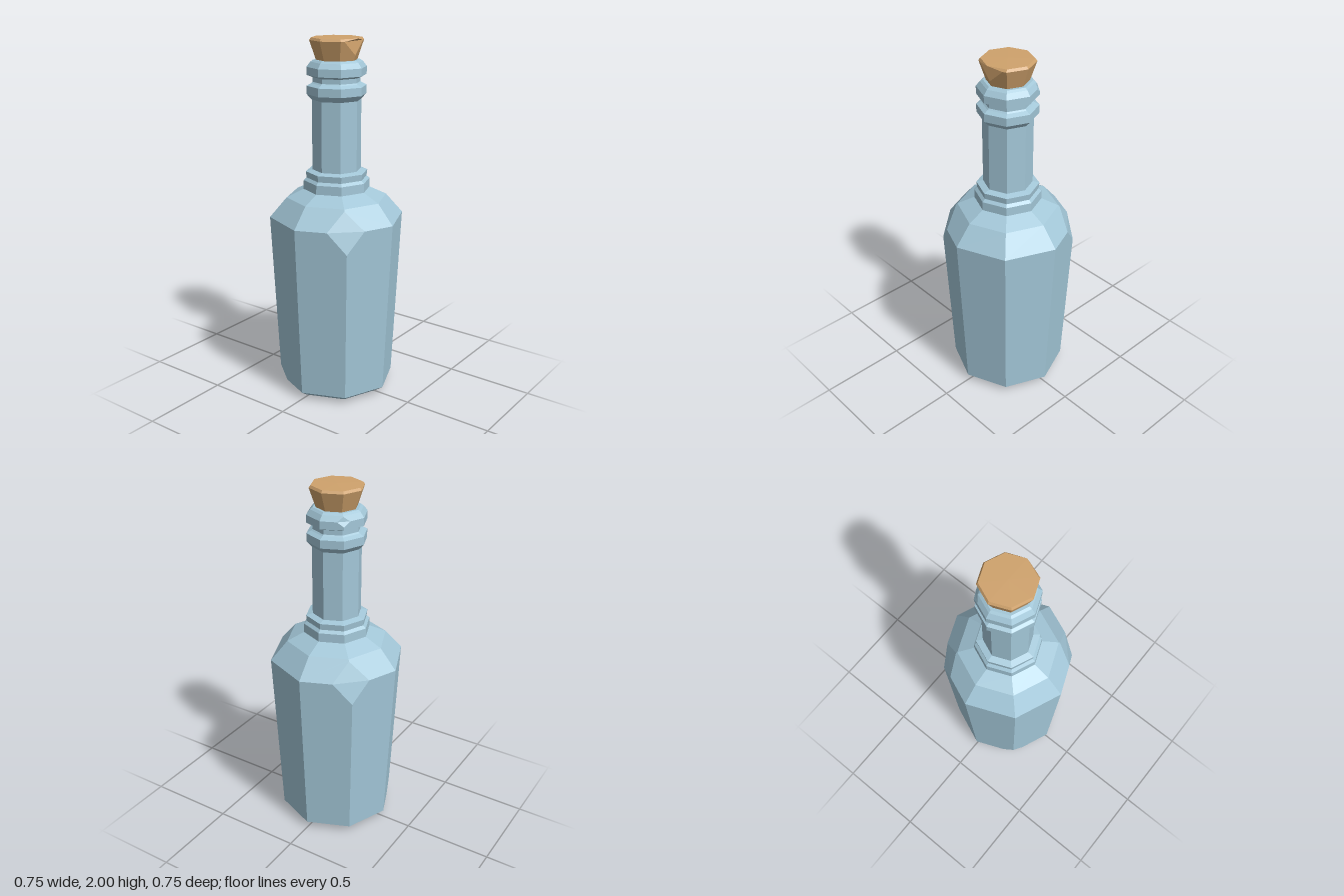
import * as THREE from 'three';

const SIDES = 8;

// Faceted solid of stacked octagons [radius, y]; chips cut single corners off.
// A chip's side, up and down are fractions along the edges leaving that corner.
function facetedTurning(rings, chips, bottomY, topY) {
  const positions = [];
  const wrap = (j) => (j + SIDES) % SIDES;
  const corner = (i, j) => {
    const a = (wrap(j) / SIDES) * Math.PI * 2;
    return new THREE.Vector3(rings[i][0] * Math.sin(a), rings[i][1], rings[i][0] * Math.cos(a));
  };
  const fan = (pts) => {
    for (let k = 1; k < pts.length - 1; k++) {
      for (const p of [pts[0], pts[k], pts[k + 1]]) positions.push(p.x, p.y, p.z);
    }
  };
  const along = (chip, i, j, ni, nj) => {
    const t = ni > i ? chip.up : ni < i ? chip.down : chip.side;
    return corner(i, j).lerp(corner(ni, nj), t);
  };

  // Side panels, with chipped corners removed
  for (let i = 0; i < rings.length - 1; i++) {
    for (let j = 0; j < SIDES; j++) {
      const quad = [[i, j], [i, j + 1], [i + 1, j + 1], [i + 1, j]];
      const pts = [];
      quad.forEach(([ci, cj], k) => {
        const chip = chips.find((c) => c.ring === ci && c.seg === wrap(cj));
        if (!chip) pts.push(corner(ci, cj));
        else {
          pts.push(along(chip, ci, cj, ...quad[(k + 3) % 4]));
          pts.push(along(chip, ci, cj, ...quad[(k + 1) % 4]));
        }
      });
      fan(pts);
    }
  }

  // Chip facets
  for (const c of chips) {
    const { ring: i, seg: j } = c;
    fan([along(c, i, j, i, j - 1), along(c, i, j, i - 1, j),
      along(c, i, j, i, j + 1), along(c, i, j, i + 1, j)]);
  }

  // End caps
  const last = rings.length - 1;
  for (let j = 0; j < SIDES; j++) {
    fan([new THREE.Vector3(0, bottomY, 0), corner(0, j + 1), corner(0, j)]);
    fan([new THREE.Vector3(0, topY, 0), corner(last, j), corner(last, j + 1)]);
  }

  const geometry = new THREE.BufferGeometry();
  geometry.setAttribute('position', new THREE.Float32BufferAttribute(positions, 3));
  geometry.computeVertexNormals();
  return geometry;
}

export function createModel() {
  const group = new THREE.Group();
  group.name = 'corkedBottle';

  const glass = new THREE.MeshStandardMaterial({ color: 0xa3c7d8 });
  glass.name = 'pale blue glass';
  const corkBrown = new THREE.MeshStandardMaterial({ color: 0xcfa26c });
  corkBrown.name = 'cork brown';

  const add = (name, material, rings, chips, bottomY, topY) => {
    const mesh = new THREE.Mesh(facetedTurning(rings, chips, bottomY, topY), material);
    mesh.name = name;
    group.add(mesh);
  };

  // Tapered body and shoulder
  add('body', glass,
    [[0.29, 0.012], [0.328, 0.04], [0.375, 1.02], [0.28, 1.13], [0.185, 1.175]],
    [
      { ring: 2, seg: 1, side: 0.38, up: 0.92, down: 0.12 },
      { ring: 2, seg: 5, side: 0.38, up: 0.92, down: 0.12 },
      { ring: 1, seg: 7, side: 0.28, up: 0.07, down: 0.85 },
    ], 0, 1.175);

  // Stepped collar at the foot of the neck
  add('neckCollar', glass,
    [[0.185, 1.17], [0.184, 1.225], [0.168, 1.24], [0.172, 1.275], [0.135, 1.285]],
    [], 1.17, 1.285);

  // Neck with two lip rings
  add('neck', glass,
    [[0.135, 1.27], [0.135, 1.67], [0.163, 1.7], [0.163, 1.745], [0.138, 1.758],
      [0.13, 1.765], [0.13, 1.79], [0.163, 1.803], [0.163, 1.845], [0.142, 1.872], [0.128, 1.882]],
    [{ ring: 8, seg: 5, side: 0.3, up: 0.9, down: 0.6 }], 1.27, 1.882);

  // Flared cork, worn on one side
  add('cork', corkBrown,
    [[0.108, 1.87], [0.147, 1.985], [0.138, 1.998]],
    [{ ring: 1, seg: 2, side: 0.8, up: 0.95, down: 0.65 }], 1.87, 2);

  return group;
}
